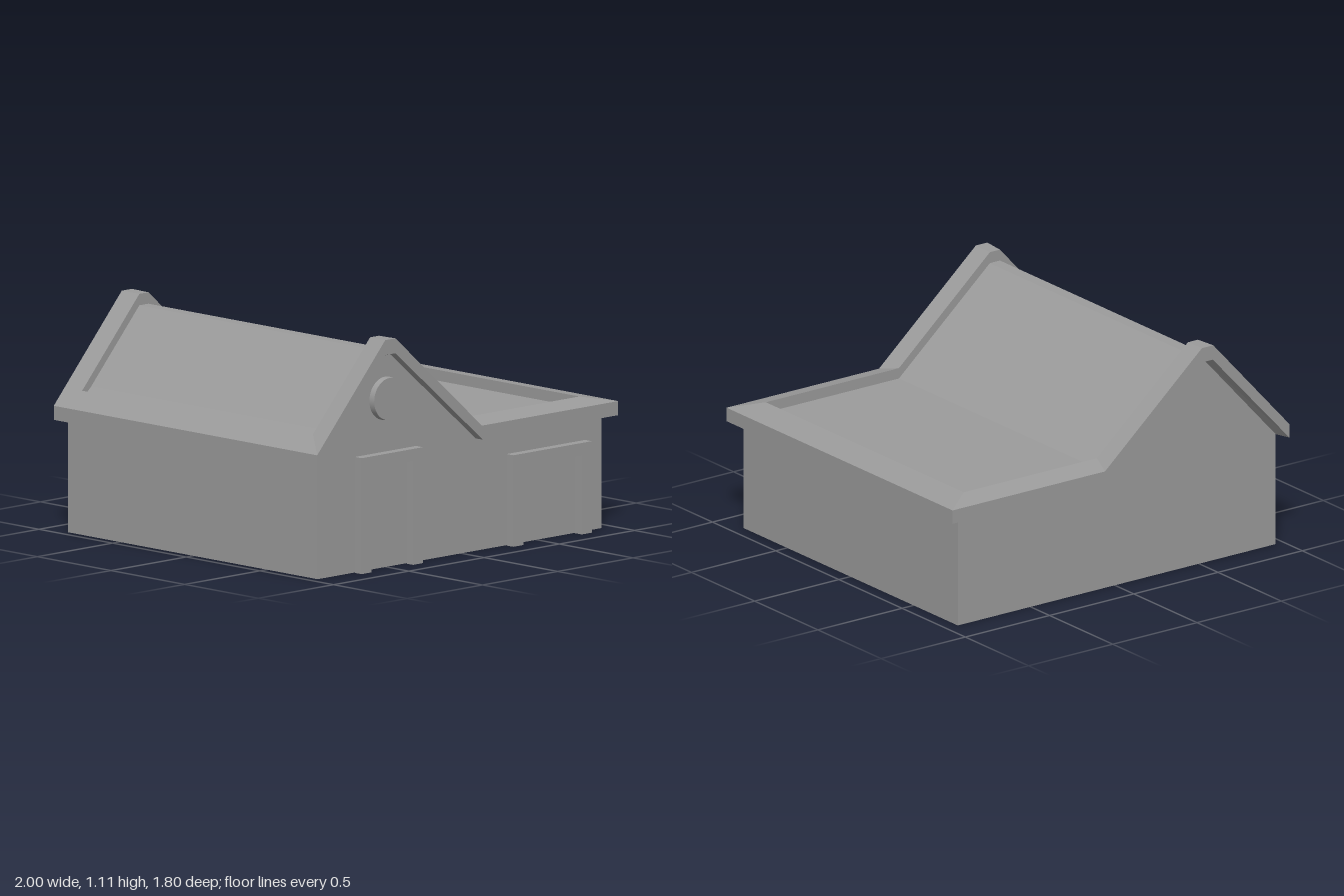
import * as THREE from 'three';

const color = 0x9b9b9b;
const material = new THREE.MeshStandardMaterial({ color, flatShading: true, side: THREE.DoubleSide });
const smooth = new THREE.MeshStandardMaterial({ color });

// Profiles run left to right in the front plane: eave, ridge, ridge, valley, eave.
const wallTop = [[-0.955, 0.555], [-0.53, 1.022], [-0.472, 1.023], [0.096, 0.542], [0.932, 0.542]];
const fasciaLow = [[-1, 0.542], [-0.545, 1.035], [-0.48, 1.035], [0.1, 0.542], [1, 0.542]];
const fasciaTop = [[-1, 0.61], [-0.548, 1.107], [-0.48, 1.107], [0.095, 0.61], [1, 0.61]];
const rimInner = [[-0.92, 0.687], [-0.54, 1.105], [-0.48, 1.105], [0.06, 0.637], [0.85, 0.637]];
const ground = wallTop.map(([x]) => [x, 0]);

// The recessed surface has one more crease, just above the steep eave.
const stepTop = [rimInner[0], [-0.86, 0.753], ...rimInner.slice(1)];
const panel = [[-0.92, 0.645], [-0.86, 0.7], [-0.54, 1.05], [-0.48, 1.05], [0.06, 0.585], [0.85, 0.585]];

const line = (profile, z) => profile.map(([x, y]) => [x, y, z]);
// Closed ring: along the front, then back along the rear
const ring = (profile, front, back) => [...line(profile, front), ...line(profile, back).reverse()];

// Joins successive rows of points with quads
function loft(name, rows, closed) {
  const pos = [];
  for (let r = 0; r < rows.length - 1; r++) {
    const a = rows[r], b = rows[r + 1], n = a.length;
    for (let i = 0; i < (closed ? n : n - 1); i++) {
      const j = (i + 1) % n;
      for (const p of [a[i], a[j], b[j], a[i], b[j], b[i]]) pos.push(...p);
    }
  }
  const geo = new THREE.BufferGeometry();
  geo.setAttribute('position', new THREE.Float32BufferAttribute(pos, 3));
  geo.computeVertexNormals();
  const mesh = new THREE.Mesh(geo, material);
  mesh.name = name;
  return mesh;
}

// Three-sided surround standing just clear of the front wall
function doorFrame(name, x0, x1, height, side, top) {
  const s = new THREE.Shape([
    [x0, 0], [x0 + side, 0], [x0 + side, height - top], [x1 - side, height - top],
    [x1 - side, 0], [x1, 0], [x1, height], [x0, height],
  ].map(([x, y]) => new THREE.Vector2(x, y)));
  const geo = new THREE.ExtrudeGeometry(s, { depth: 0.046, bevelEnabled: false });
  geo.translate(0, 0, 0.853);
  const mesh = new THREE.Mesh(geo, material);
  mesh.name = name;
  return mesh;
}

export function createModel() {
  const model = new THREE.Group();
  model.name = 'house';

  // Walls, open underneath
  const wallRing = ring(wallTop, 0.846, -0.85);
  model.add(loft('walls', [ring(ground, 0.846, -0.85), wallRing], true));

  // Soffit, fascia and raised rim
  model.add(loft('roofRim', [
    wallRing,
    ring(fasciaLow, 0.889, -0.899),
    ring(fasciaTop, 0.889, -0.899),
    ring(rimInner, 0.778, -0.788),
  ], true));

  // Step down inside the rim, and the recessed roof surface
  model.add(loft('rimStep', [ring(stepTop, 0.778, -0.788), ring(panel, 0.778, -0.788)], true));
  model.add(loft('roofPanels', [line(panel, 0.778), line(panel, -0.788)], false));

  model.add(doorFrame('tallDoorFrame', -0.715, -0.307, 0.56, 0.066, 0.057));
  model.add(doorFrame('wideDoorFrame', 0.293, 0.815, 0.442, 0.067, 0.059));

  // Round gable window, passing through the wall
  const disc = new THREE.CylinderGeometry(0.101, 0.107, 0.055, 40).rotateX(Math.PI / 2);
  const win = new THREE.Mesh(disc, smooth);
  win.position.set(-0.507, 0.816, 0.848);
  win.name = 'gableWindow';
  model.add(win);

  return model;
}
